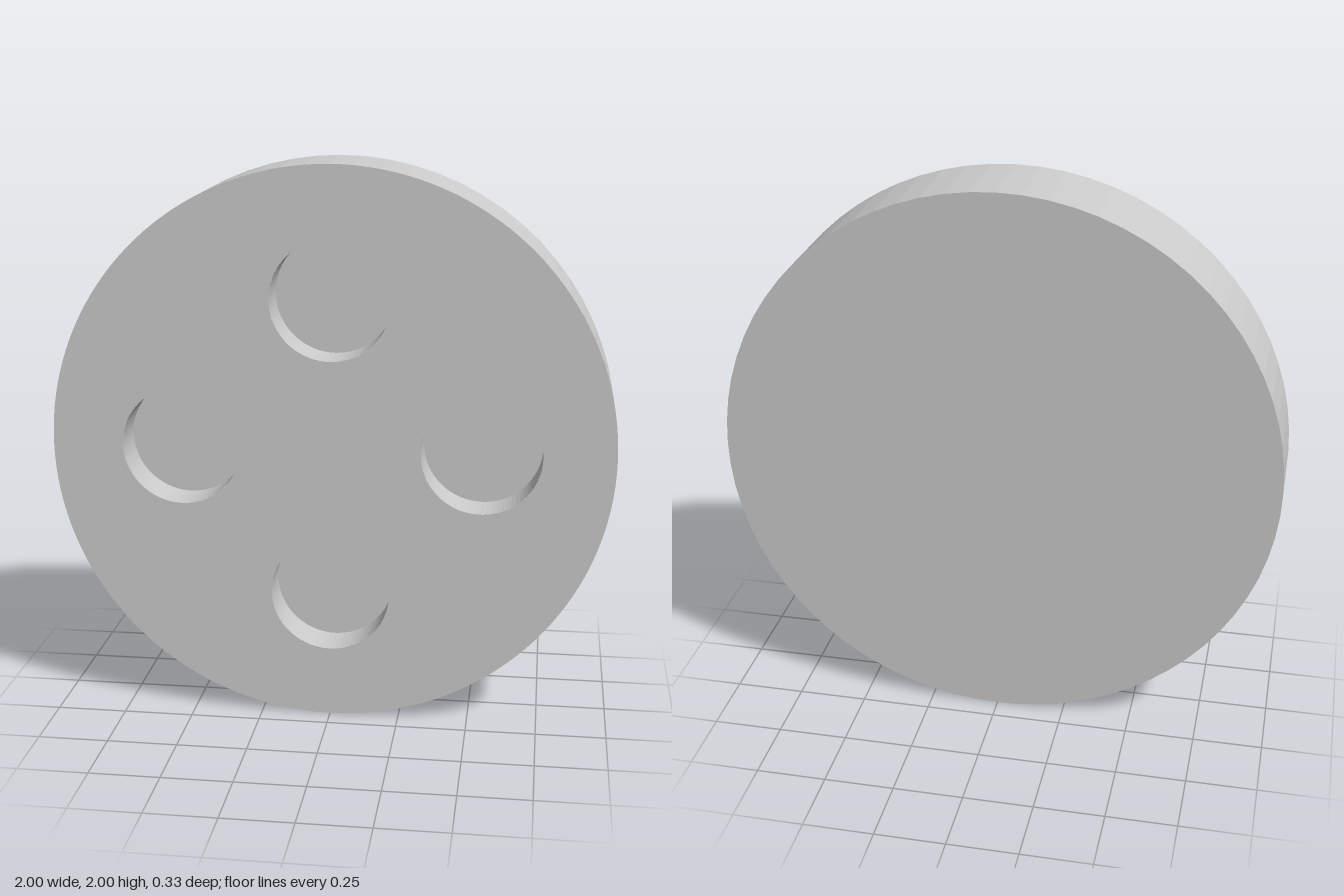
import * as THREE from 'three';

const RADIUS = 1, HALF = 0.167, SEGMENTS = 72;
const POCKET_RADIUS = 0.213, POCKET_DEPTH = 0.153, POCKET_OFFSET = 0.533;

// Faceted surface turned around the z axis from [radius, z] points
function turned(points) {
  const lathe = new THREE.LatheGeometry(points.map(([r, z]) => new THREE.Vector2(r, z)), SEGMENTS);
  const geometry = lathe.rotateX(Math.PI / 2).toNonIndexed();
  geometry.computeVertexNormals();
  return geometry;
}

export function createModel() {
  const group = new THREE.Group();
  group.name = 'discWithPockets';
  const grey = new THREE.MeshStandardMaterial({ color: 0xcccccc, flatShading: true });
  grey.name = 'lightGrey';

  const add = (name, geometry, x, y, z) => {
    const mesh = new THREE.Mesh(geometry, grey);
    mesh.name = name;
    mesh.position.set(x, y, z);
    group.add(mesh);
  };

  // Back face and rim
  add('discBody', turned([[0, -HALF], [RADIUS, -HALF], [RADIUS, HALF]]), 0, RADIUS, 0);

  // Front face with four round openings, each leading into a blind pocket
  const face = new THREE.Shape().absarc(0, 0, RADIUS, 0, Math.PI * 2, false);
  const pocket = turned([[POCKET_RADIUS, 0], [POCKET_RADIUS, -POCKET_DEPTH], [0, -POCKET_DEPTH]]);
  const pockets = [['left', 1, 0], ['top', 0, 1], ['right', -1, 0], ['bottom', 0, -1]];
  for (const [side, dx, dy] of pockets) {
    const x = dx * POCKET_OFFSET, y = dy * POCKET_OFFSET;
    face.holes.push(new THREE.Path().absarc(x, y, POCKET_RADIUS, 0, Math.PI * 2, true));
    add(side + 'Pocket', pocket, x, RADIUS + y, HALF);
  }
  add('frontFace', new THREE.ShapeGeometry(face, SEGMENTS), 0, RADIUS, HALF);

  return group;
}
